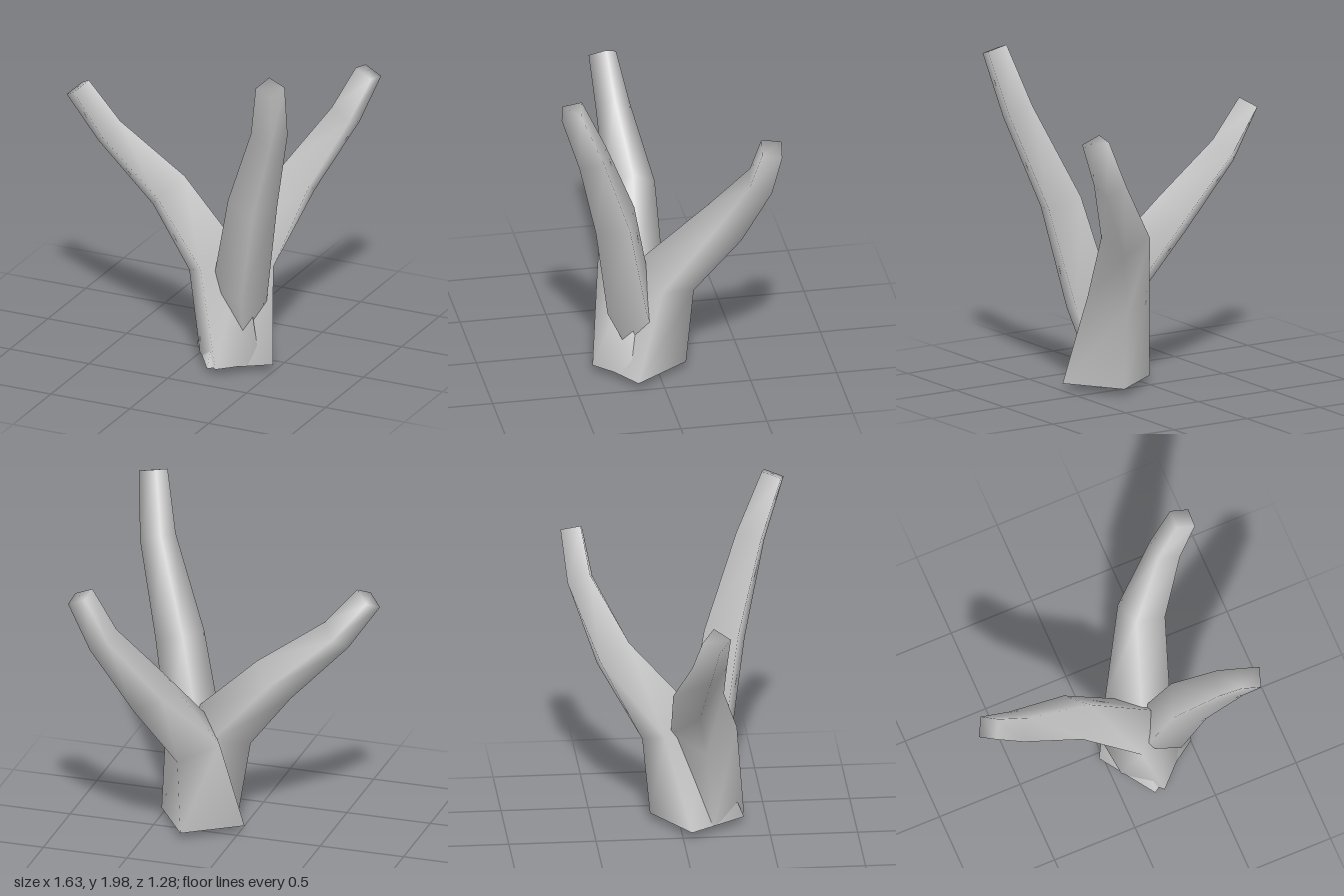
import * as THREE from 'three';

// Each ring: x, y, z of the centre, radius, compass angle of its side corner (degrees, 0 = +x, 90 = +z)
const BRANCHES = [
  { name: 'rightBranch', flatBase: true, rings: [
    [0.24, 0.06, 0.18, 0.19, 90],
    [0.13, 0.62, 0.13, 0.19, 90],
    [-0.20, 0.98, 0.07, 0.145, 90],
    [-0.565, 1.295, 0.10, 0.10, 90],
    [-0.75, 1.537, 0.125, 0.083, 80],
  ] },
  { name: 'backBranch', flatBase: true, rings: [
    [0.235, 0.055, 0.10, 0.27, 11],
    [0.25, 0.60, -0.05, 0.185, 14],
    [0.41, 1.0, -0.365, 0.14, 38],
    [0.63, 1.37, -0.535, 0.097, 50],
    [0.755, 1.64, -0.575, 0.083, 49],
  ] },
  { name: 'frontBranch', flatBase: false, rings: [
    [0.26, 0.04, 0.02, 0.09, -27],
    [0.30, 0.50, 0.17, 0.16, -27],
    [0.43, 1.09, 0.275, 0.142, -25],
    [0.615, 1.61, 0.44, 0.105, -28],
    [0.685, 1.96, 0.575, 0.083, -30],
  ] },
];
const SIDES = 4;

// Tapered four-sided limb, smooth-shaded, open below and closed at the tip
function limbGeometry(rings, flatBase) {
  const centres = rings.map(([x, y, z]) => new THREE.Vector3(x, y, z));
  const last = rings.length - 1;
  const positions = [];
  const index = [];

  rings.forEach(([, , , radius, degrees], i) => {
    const tangent = new THREE.Vector3();
    if (i === 0 && flatBase) tangent.set(0, 1, 0);
    else {
      tangent.subVectors(centres[Math.min(i + 1, last)], centres[Math.max(i - 1, 0)]).normalize();
    }
    const a = THREE.MathUtils.degToRad(degrees);
    const side = new THREE.Vector3(Math.cos(a), 0, Math.sin(a));
    side.addScaledVector(tangent, -side.dot(tangent)).normalize();
    const across = new THREE.Vector3().crossVectors(tangent, side);
    for (let j = 0; j < SIDES; j++) {
      const t = (j / SIDES) * Math.PI * 2;
      const p = centres[i].clone()
        .addScaledVector(side, Math.cos(t) * radius)
        .addScaledVector(across, Math.sin(t) * radius);
      positions.push(p.x, p.y, p.z);
    }
  });

  for (let i = 0; i < last; i++) {
    for (let j = 0; j < SIDES; j++) {
      const k = (j + 1) % SIDES;
      const a = i * SIDES + j, b = i * SIDES + k;
      index.push(a, b, b + SIDES, a, b + SIDES, a + SIDES);
    }
  }
  // Tip
  const tip = last * SIDES;
  for (let j = 1; j < SIDES - 1; j++) index.push(tip, tip + j, tip + j + 1);

  const geometry = new THREE.BufferGeometry();
  geometry.setAttribute('position', new THREE.Float32BufferAttribute(positions, 3));
  geometry.setIndex(index);
  geometry.computeVertexNormals();
  return geometry;
}

export function createModel() {
  const group = new THREE.Group();
  group.name = 'branchingTrunk';
  const material = new THREE.MeshStandardMaterial({ color: 0xcccccc, side: THREE.DoubleSide });
  for (const { name, rings, flatBase } of BRANCHES) {
    const mesh = new THREE.Mesh(limbGeometry(rings, flatBase), material);
    mesh.name = name;
    group.add(mesh);
  }
  return group;
}
